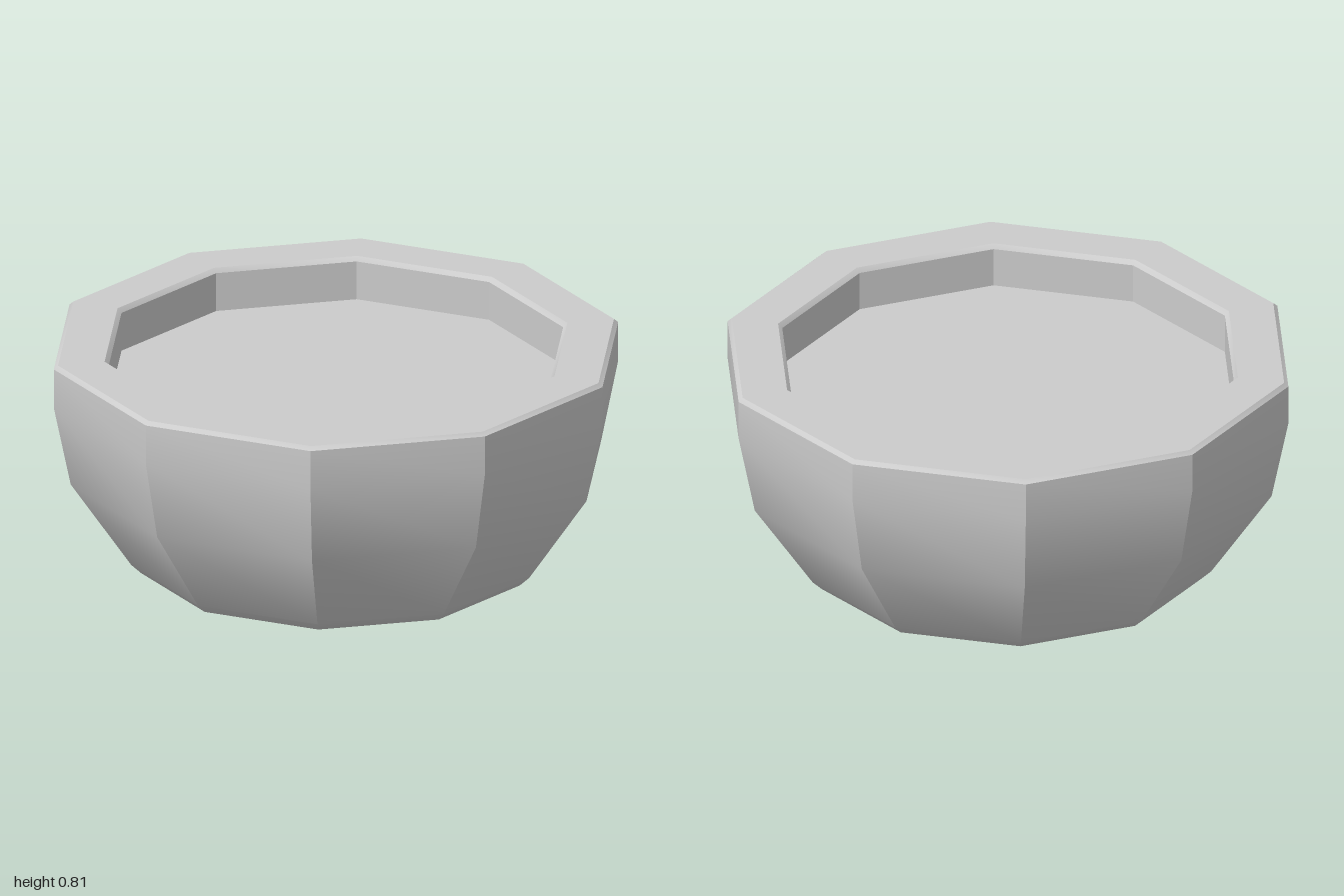
import * as THREE from 'three';
import { toCreasedNormals } from 'three/addons/utils/BufferGeometryUtils.js';

const SIDES = 10;
const CREASE = 0.5; // keeps side edges sharp, lets the curved profile shade smoothly

// Ten-sided lathe with corners on the x axis
function facetedLathe(name, profile, material) {
  const points = profile.map(([r, y]) => new THREE.Vector2(r, y));
  const lathe = new THREE.LatheGeometry(points, SIDES, Math.PI / 2);
  const mesh = new THREE.Mesh(toCreasedNormals(lathe, CREASE), material);
  mesh.name = name;
  return mesh;
}

export function createModel() {
  const group = new THREE.Group();
  group.name = 'bowl';
  const material = new THREE.MeshStandardMaterial({ color: 0xcccccc });

  // Base, bevelled foot, flared wall, chamfered rim and inner wall
  group.add(facetedLathe('bowlShell', [
    [0, 0], [0.64, 0], [0.69, 0.014], [0.725, 0.047],
    [0.94, 0.365], [1, 0.655], [1, 0.797], [0.985, 0.81],
    [0.82, 0.81], [0.805, 0.795], [0.805, 0.655],
  ], material));

  // Flat inner floor
  group.add(facetedLathe('innerFloor', [[0.805, 0.655], [0, 0.655]], material));

  return group;
}
